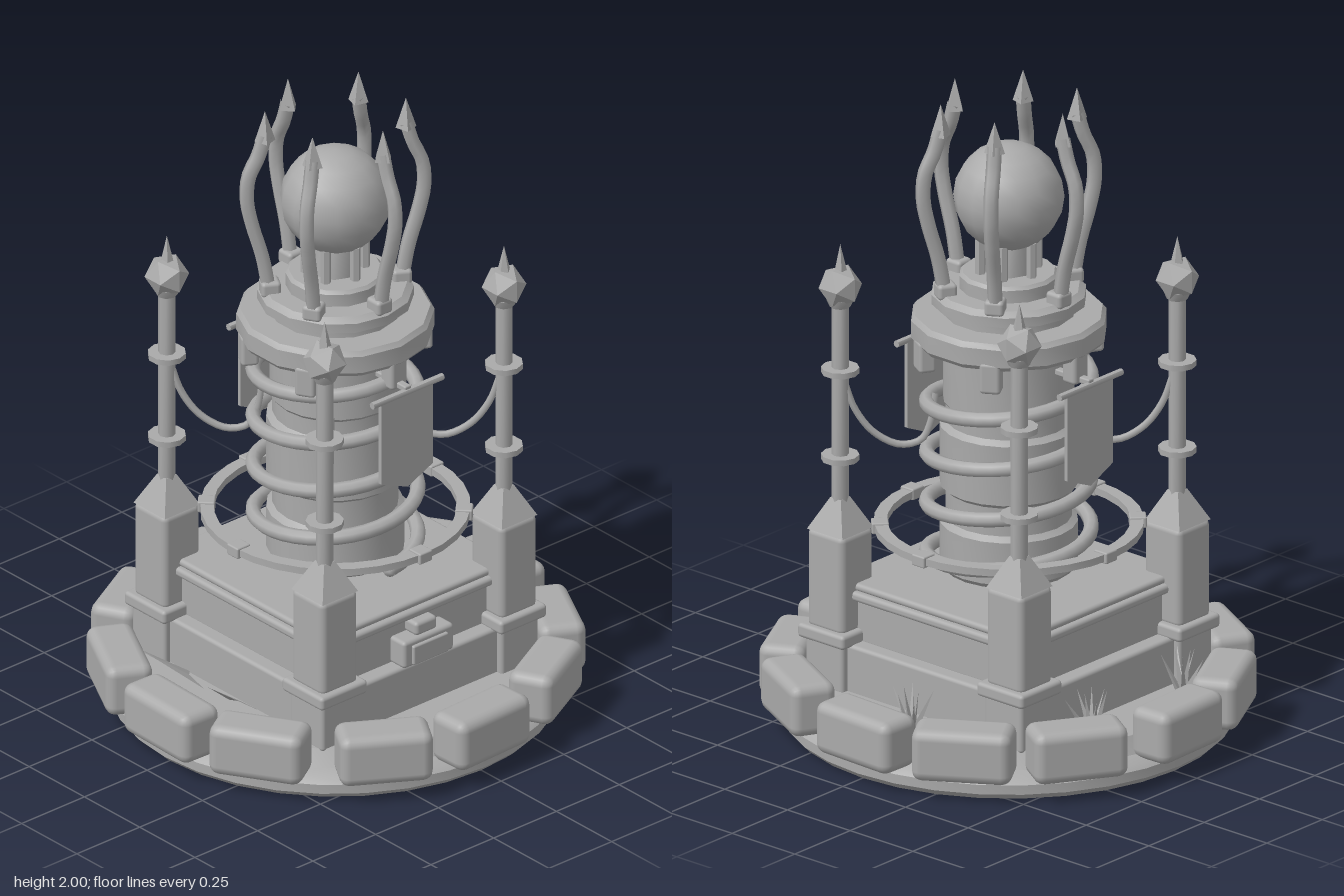
import * as THREE from 'three';
import { toCreasedNormals } from 'three/addons/utils/BufferGeometryUtils.js';
import { RoundedBoxGeometry } from 'three/addons/geometries/RoundedBoxGeometry.js';

const V3 = (x, y, z) => new THREE.Vector3(x, y, z);

export function createModel() {
  const model = new THREE.Group();
  model.name = 'crystalTower';
  const stone = new THREE.MeshStandardMaterial({ color: 0xaaaaaa });
  stone.name = 'grey stone';
  const leaf = stone.clone();
  leaf.side = THREE.DoubleSide;

  const add = (name, geo, x = 0, y = 0, z = 0, parent = model, mat = stone) => {
    const m = new THREE.Mesh(geo, mat);
    m.name = name;
    m.position.set(x, y, z);
    parent.add(m);
    return m;
  };
  const group = (name, ry = 0, x = 0, z = 0) => {
    const g = new THREE.Group();
    g.name = name;
    g.position.set(x, 0, z);
    g.rotation.y = ry;
    model.add(g);
    return g;
  };
  const lathe = (pts, sides) =>
    toCreasedNormals(new THREE.LatheGeometry(pts.map((p) => new THREE.Vector2(...p)), sides), 0.55);
  const block = (w, h, d, r = 0.012) => new RoundedBoxGeometry(w, h, d, 2, r);
  const tube = (pts, r, seg = 20, sides = 8) =>
    new THREE.TubeGeometry(new THREE.CatmullRomCurve3(pts), seg, r, sides);
  const cyl = (r0, r1, h, n = 8) => toCreasedNormals(new THREE.CylinderGeometry(r0, r1, h, n), 0.8);

  // Round ground slab
  add('groundSlab', lathe([[0, 0], [0.66, 0], [0.68, 0.02], [0.68, 0.05], [0.665, 0.065],
    [0.63, 0.08], [0.6, 0.13], [0, 0.13]], 32));

  // Ring of rounded border stones with slight irregularity
  for (let i = 0; i < 12; i++) {
    const g = group('borderStone', i * Math.PI / 6);
    const s = add('stone', block(0.295 + 0.01 * Math.sin(i * 5), 0.165, 0.145, 0.032),
      0.015 * Math.sin(i * 2.4), 0.147, 0.66, g);
    s.rotation.y = 0.05 * Math.sin(i * 3.1 + 1);
  }

  // Square stepped plinth
  add('plinthStep', block(0.82, 0.17, 0.82), 0, 0.195, 0);
  add('plinthBody', block(0.72, 0.16, 0.72), 0, 0.35, 0);
  add('plinthMoulding', block(0.77, 0.03, 0.77), 0, 0.425, 0);
  add('plinthTop', block(0.74, 0.025, 0.74), 0, 0.45, 0);

  // Small keystone panel on the front
  add('frontPanel', block(0.2, 0.09, 0.07), 0, 0.325, 0.39);
  add('frontPanelInset', block(0.14, 0.065, 0.02, 0.006), 0, 0.32, 0.425);
  add('frontPanelCap', block(0.085, 0.045, 0.06), 0, 0.39, 0.385);

  // Four corner posts with pole, finial and slack cable
  const cablePts = [[0.35, 1.1], [0.325, 1.0], [0.285, 0.925], [0.23, 0.885], [0.185, 0.9],
    [0.165, 0.96], [0.155, 1.05]].map(([d, y]) => V3(0, y, d * Math.SQRT2));
  for (let i = 0; i < 4; i++) {
    const a = Math.PI / 4 + i * Math.PI / 2;
    const g = group('cornerPost', i * Math.PI / 2, 0.505 * Math.sin(a), 0.505 * Math.cos(a));
    add('postFooting', block(0.15, 0.16, 0.15), 0, 0.2, 0, g);
    add('postBase', block(0.185, 0.045, 0.185), 0, 0.295, 0, g);
    add('postBody', block(0.145, 0.32, 0.145, 0.02), 0, 0.465, 0, g);
    const cap = add('postCap', new THREE.CylinderGeometry(0.03, 0.1, 0.1, 4).toNonIndexed(), 0, 0.67, 0, g);
    cap.geometry.computeVertexNormals();
    cap.rotation.y = Math.PI / 4;
    add('pole', cyl(0.026, 0.026, 0.68), 0, 1.04, 0, g);
    for (const y of [0.85, 1.13]) add('poleRing', cyl(0.058, 0.058, 0.018, 10), 0, y, 0, g);
    add('finialCollar', cyl(0.045, 0.032, 0.03), 0, 1.35, 0, g);
    add('finialKnob', new THREE.IcosahedronGeometry(0.068, 0), 0, 1.4, 0, g);
    add('finialSpike', toCreasedNormals(new THREE.ConeGeometry(0.024, 0.1, 5), 0.3), 0, 1.485, 0, g);
    add('cable', tube(cablePts, 0.011, 24, 6), 0, 0, 0, group('cableArm', a));
  }

  // Floating central column
  add('column', lathe([[0, 0.49], [0.195, 0.49], [0.208, 0.505], [0.208, 0.64], [0.19, 0.655],
    [0.19, 0.745], [0.208, 0.76], [0.208, 0.95], [0.19, 0.965], [0.19, 1.02], [0.198, 1.03],
    [0.198, 1.2], [0.185, 1.22], [0.16, 1.24]], 20));

  // Spiral coil around the column
  const coil = [];
  for (let i = 0; i <= 96; i++) {
    const t = (i / 96) * Math.PI * 8;
    coil.push(V3(0.247 * Math.sin(t), 0.515 + (0.645 * i) / 96, 0.247 * Math.cos(t)));
  }
  add('spiralCoil', tube(coil, 0.023, 144, 8));
  for (const p of [coil[0], coil[96]]) add('coilEnd', new THREE.SphereGeometry(0.023, 8, 6), p.x, p.y, p.z);

  // Wide flat hoop with clips
  add('hoop', lathe([[0.365, 0.612], [0.405, 0.612], [0.405, 0.635], [0.365, 0.635], [0.365, 0.612]], 32));
  for (let i = 0; i < 8; i++) {
    add('hoopClip', block(0.05, 0.036, 0.052, 0.005), 0, 0.623, 0.386, group('hoopClipArm', i * Math.PI / 4));
  }

  // Collar and stacked rims
  add('collar', lathe([[0.19, 1.225], [0.285, 1.225], [0.297, 1.24], [0.297, 1.295], [0.285, 1.31],
    [0.2, 1.31], [0.2, 1.335], [0.235, 1.345], [0.235, 1.375], [0.215, 1.39], [0.15, 1.39],
    [0.15, 1.43], [0.14, 1.44], [0, 1.44]], 14));
  add('collarUnderside', cyl(0.2, 0.2, 0.02, 14), 0, 1.235, 0);

  // Orb and its stand
  add('orbStand', cyl(0.06, 0.075, 0.14, 8), 0, 1.49, 0);
  add('orb', new THREE.SphereGeometry(0.167, 14, 10), 0, 1.68, 0);

  // Six curved prongs, each over a hanging bracket
  const prong = [[0.2, 1.37], [0.222, 1.5], [0.255, 1.62], [0.27, 1.7], [0.265, 1.78],
    [0.235, 1.85], [0.215, 1.92]].map(([r, y]) => V3(0, y, r));
  for (let i = 0; i < 6; i++) {
    const g = group('prongUnit', i * Math.PI / 3);
    add('prong', tube(prong, 0.023, 20, 6), 0, 0, 0, g);
    add('prongTip', toCreasedNormals(new THREE.ConeGeometry(0.032, 0.1, 4), 0.3), 0, 1.95, 0.215, g);
    add('prongFoot', block(0.06, 0.05, 0.06), 0, 1.4, 0.2, g);
    add('standRod', cyl(0.016, 0.016, 0.14, 6), 0, 1.48, 0.09, g);
    add('hangingBracket', block(0.065, 0.1, 0.055), 0, 1.2, 0.265, g);
  }

  // Pointed banners, front and back
  const cloth = new THREE.Shape();
  [[-0.105, 1.155], [-0.105, 0.875], [0, 0.83], [0.1, 0.875], [0.1, 1.155]]
    .forEach(([x, y], i) => (i ? cloth.lineTo(x, y) : cloth.moveTo(x, y)));
  const clothGeo = new THREE.ExtrudeGeometry(cloth, { depth: 0.012, bevelEnabled: false });
  for (const a of [0, Math.PI]) {
    const g = group('banner', a);
    add('bannerCloth', clothGeo, 0, 0, 0.315, g);
    add('bannerRod', cyl(0.011, 0.011, 0.28), 0, 1.155, 0.325, g).rotation.z = Math.PI / 2;
    add('bannerBracket', block(0.025, 0.02, 0.14, 0.005), 0, 1.165, 0.26, g);
  }

  // Grass tufts of leaning blades
  const blade = new THREE.ConeGeometry(0.014, 0.16, 3);
  blade.translate(0, 0.08, 0);
  for (const [x, z] of [[0.53, -0.08], [0.19, -0.5], [-0.23, -0.49]]) {
    const g = group('grassTuft', x * 4, x, z);
    for (let i = 0; i < 7; i++) {
      const b = add('grassBlade', toCreasedNormals(blade, 0.2), 0, 0.12, 0, g);
      b.rotation.set(0, i * 2.4, 0.15 + 0.07 * i, 'YXZ');
    }
  }

  // Broad leaf shards leaning outwards
  for (const [z, turn] of [[-0.17, -0.35], [0.085, 0.2]]) {
    const s = new THREE.BufferGeometry().setFromPoints([
      V3(0.08, 0, -0.06), V3(-0.1, 0.14, 0), V3(0.05, 0.03, 0.01),
      V3(0.05, 0.03, 0.01), V3(-0.1, 0.14, 0), V3(0.08, 0, 0.06)]);
    s.computeVertexNormals();
    add('leafShard', s, -0.5, 0.13, z, model, leaf).rotation.y = turn;
  }
  return model;
}
